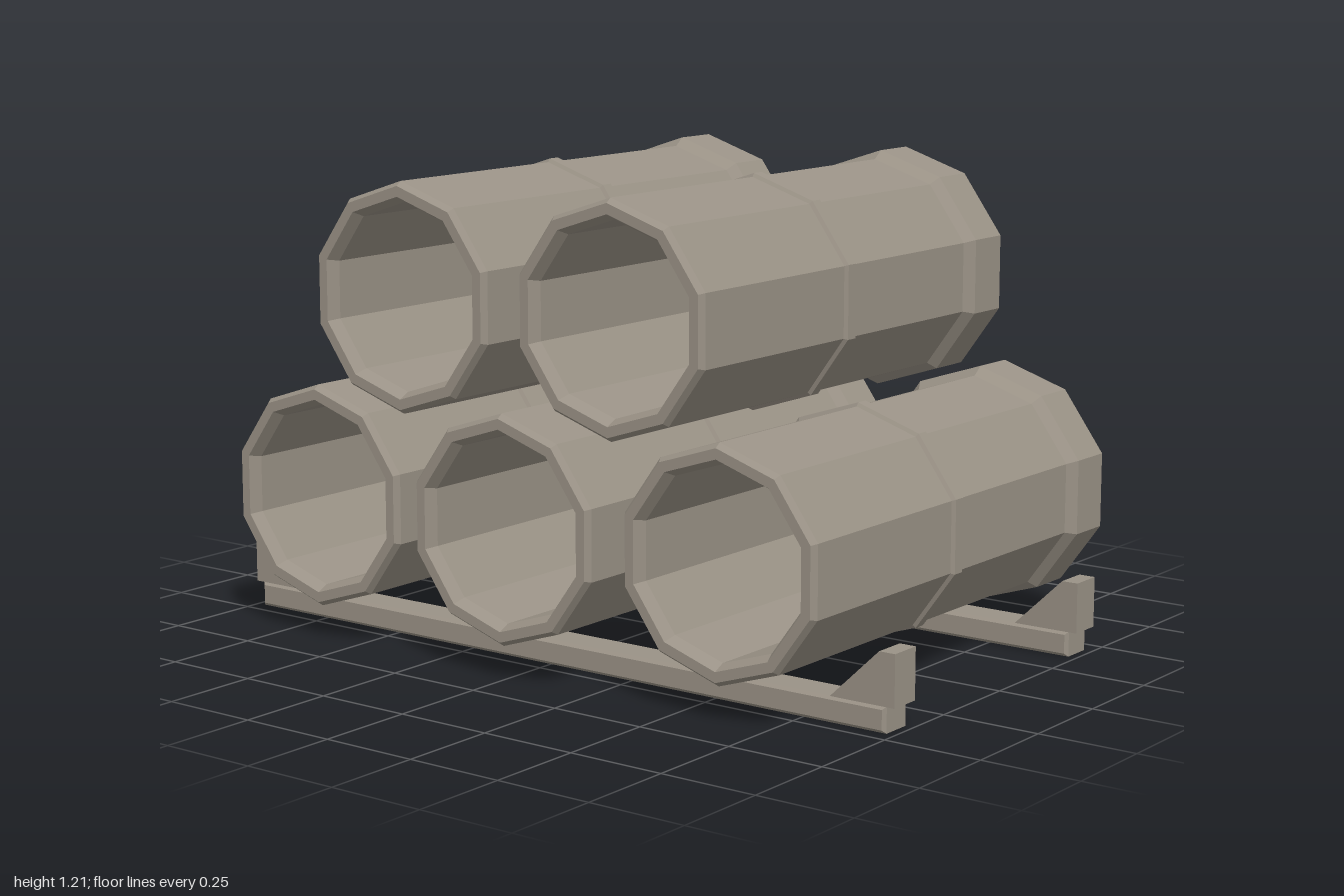
import * as THREE from 'three';

const SIDES = 10;

// Unshared vertices give every facet its own flat normal
function flat(geometry) {
  const g = geometry.index ? geometry.toNonIndexed() : geometry;
  g.computeVertexNormals();
  return g;
}

// Closed pipe wall (radius, z): up the outside from the bell, back down the bore
function pipeGeometry() {
  const profile = [
    [0.25, -0.65], [0.293, -0.65], [0.305, -0.637], [0.305, -0.517], [0.284, -0.49],
    [0.284, 0.008], [0.293, 0.014], [0.293, 0.046], [0.284, 0.052],
    [0.284, 0.61], [0.273, 0.625],
    [0.247, 0.625], [0.232, 0.595], [0.232, -0.61], [0.25, -0.65],
  ].map(([r, z]) => new THREE.Vector2(r, z));
  return flat(new THREE.LatheGeometry(profile, SIDES).rotateX(Math.PI / 2));
}

// Box with small chamfers on all edges
function chamferBox(w, h, d, c) {
  const x = w / 2 - c, y = h / 2 - c;
  const shape = new THREE.Shape([
    new THREE.Vector2(-x, -y), new THREE.Vector2(x, -y),
    new THREE.Vector2(x, y), new THREE.Vector2(-x, y),
  ]);
  const g = new THREE.ExtrudeGeometry(shape, {
    depth: d - 2 * c, bevelEnabled: true, bevelThickness: c, bevelSize: c, bevelSegments: 1,
  });
  return flat(g.translate(0, 0, -d / 2 + c));
}

// Sloped stop for the +x end of a beam
function chockGeometry() {
  const shape = new THREE.Shape([
    new THREE.Vector2(0.825, 0.063), new THREE.Vector2(1, 0.063),
    new THREE.Vector2(1, 0.19), new THREE.Vector2(0.957, 0.19),
  ]);
  const g = new THREE.ExtrudeGeometry(shape, { depth: 0.086, bevelEnabled: false });
  return flat(g.translate(0, 0, -0.043));
}

export function createModel() {
  const model = new THREE.Group();
  model.name = 'pipeStack';
  const concrete = new THREE.MeshStandardMaterial({ color: 0x9a9286 });
  concrete.name = 'concreteGrey';

  const add = (parent, name, geometry, x, y, z) => {
    const mesh = new THREE.Mesh(geometry, concrete);
    mesh.name = name;
    mesh.position.set(x, y, z);
    parent.add(mesh);
    return mesh;
  };

  // Five pipes in two rows, some pushed slightly forward
  const pipe = pipeGeometry();
  [
    ['lowerRightPipe', -0.62, 0.368, 0],
    ['lowerMiddlePipe', 0, 0.368, 0.025],
    ['lowerLeftPipe', 0.62, 0.368, 0],
    ['upperRightPipe', -0.31, 0.9, 0.025],
    ['upperLeftPipe', 0.31, 0.9, 0],
  ].forEach(([name, x, y, z]) => add(model, name, pipe, x, y, z));

  // Two cross beams with a stop at each end
  const beam = chamferBox(1.955, 0.064, 0.095, 0.008);
  const chock = chockGeometry();
  for (const [label, z] of [['front', 0.418], ['back', -0.408]]) {
    const support = new THREE.Group();
    support.name = label + 'Support';
    support.position.z = z;
    add(support, label + 'Beam', beam, 0, 0.032, 0);
    add(support, label + 'LeftChock', chock, 0, 0, 0);
    add(support, label + 'RightChock', chock, 0, 0, 0).rotation.y = Math.PI;
    model.add(support);
  }
  return model;
}
